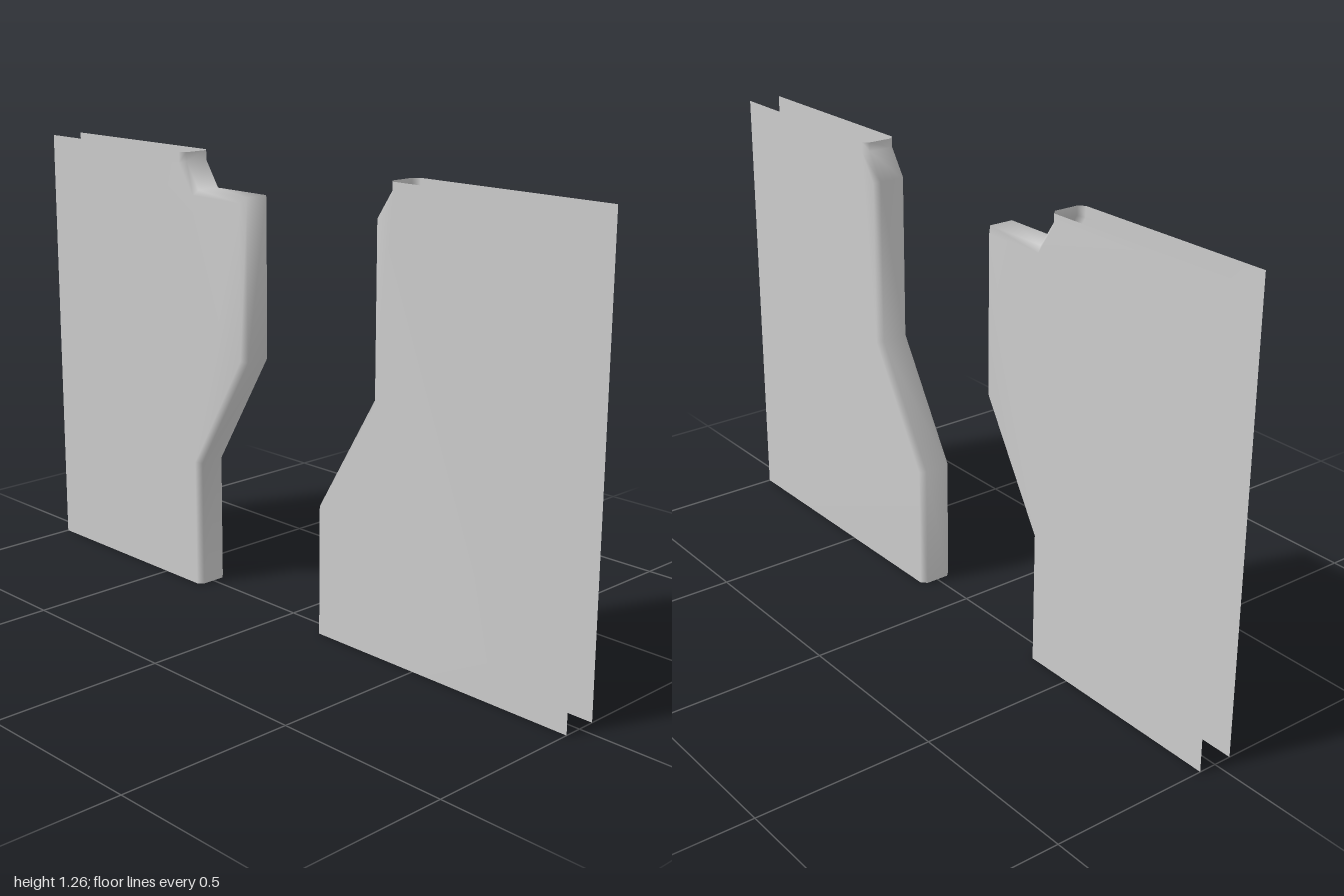
import * as THREE from 'three';
import { mergeGeometries, mergeVertices } from 'three/addons/utils/BufferGeometryUtils.js';

const HALF = 0.05;    // half the panel thickness
const BEVEL = 0.015;  // chamfer along the inner edge
const material = new THREE.MeshStandardMaterial({ color: 0xcccccc, side: THREE.DoubleSide });

// Moves an edge polyline towards the panel (side = sign of x) with mitred corners
function inset(points, side, distance) {
  const normals = points.slice(1).map((p, i) => {
    const d = p.clone().sub(points[i]).normalize();
    return new THREE.Vector2(d.y, -d.x).multiplyScalar(side);
  });
  return points.map((p, i) => {
    const a = normals[Math.max(i - 1, 0)];
    const b = normals[Math.min(i, normals.length - 1)];
    return a.clone().add(b).multiplyScalar(distance / (1 + a.dot(b))).add(p);
  });
}

// Flat front or back face
function sheet(outline, front) {
  const geo = new THREE.ShapeGeometry(new THREE.Shape(outline));
  if (!front) geo.index.array.reverse();
  geo.translate(0, 0, front ? HALF : -HALF);
  geo.deleteAttribute('uv');
  geo.deleteAttribute('normal');
  return geo;
}

// Chamfered strip that joins both faces along the inner edge
function edgeStrip(edge, inner, side) {
  const rows = [
    [inner, HALF], [edge, HALF - BEVEL], [edge, BEVEL - HALF], [inner, -HALF],
  ];
  const n = edge.length;
  const positions = rows.flatMap(([line, z]) => line.flatMap((p) => [p.x, p.y, z]));
  const index = [];
  for (let k = 0; k < rows.length - 1; k++) {
    for (let j = 0; j < n - 1; j++) {
      const a = k * n + j, b = a + n, c = b + 1, d = a + 1;
      if (side < 0) index.push(a, b, c, a, c, d);
      else index.push(a, c, b, a, d, c);
    }
  }
  const geo = new THREE.BufferGeometry();
  geo.setAttribute('position', new THREE.Float32BufferAttribute(positions, 3));
  geo.setIndex(index);
  return geo;
}

// Hollow panel, open at the top, bottom and outer side
function panel(name, side, coords) {
  const edge = coords.map(([x, y]) => new THREE.Vector2(x, y));
  const inner = inset(edge, side, BEVEL);
  const top = edge[edge.length - 1].y;
  const outline = [...inner, new THREE.Vector2(side, top), new THREE.Vector2(side, 0)];
  const geo = mergeVertices(mergeGeometries([
    sheet(outline, true), sheet(outline, false), edgeStrip(edge, inner, side),
  ]));
  geo.computeVertexNormals();
  const mesh = new THREE.Mesh(geo, material);
  mesh.name = name;
  return mesh;
}

export function createModel() {
  const group = new THREE.Group();
  group.name = 'wallPanels';
  // Inner edges, listed from the bottom up
  group.add(
    panel('rightPanel', -1, [
      [-0.345, 0], [-0.345, 0.37], [-0.145, 0.705], [-0.145, 1.163],
      [-0.345, 1.163], [-0.395, 1.238], [-0.395, 1.263],
    ]),
    panel('leftPanel', 1, [
      [0.14, 0], [0.14, 0.36], [0.34, 0.695], [0.34, 1.163], [0.39, 1.238], [0.39, 1.263],
    ]),
  );
  return group;
}
